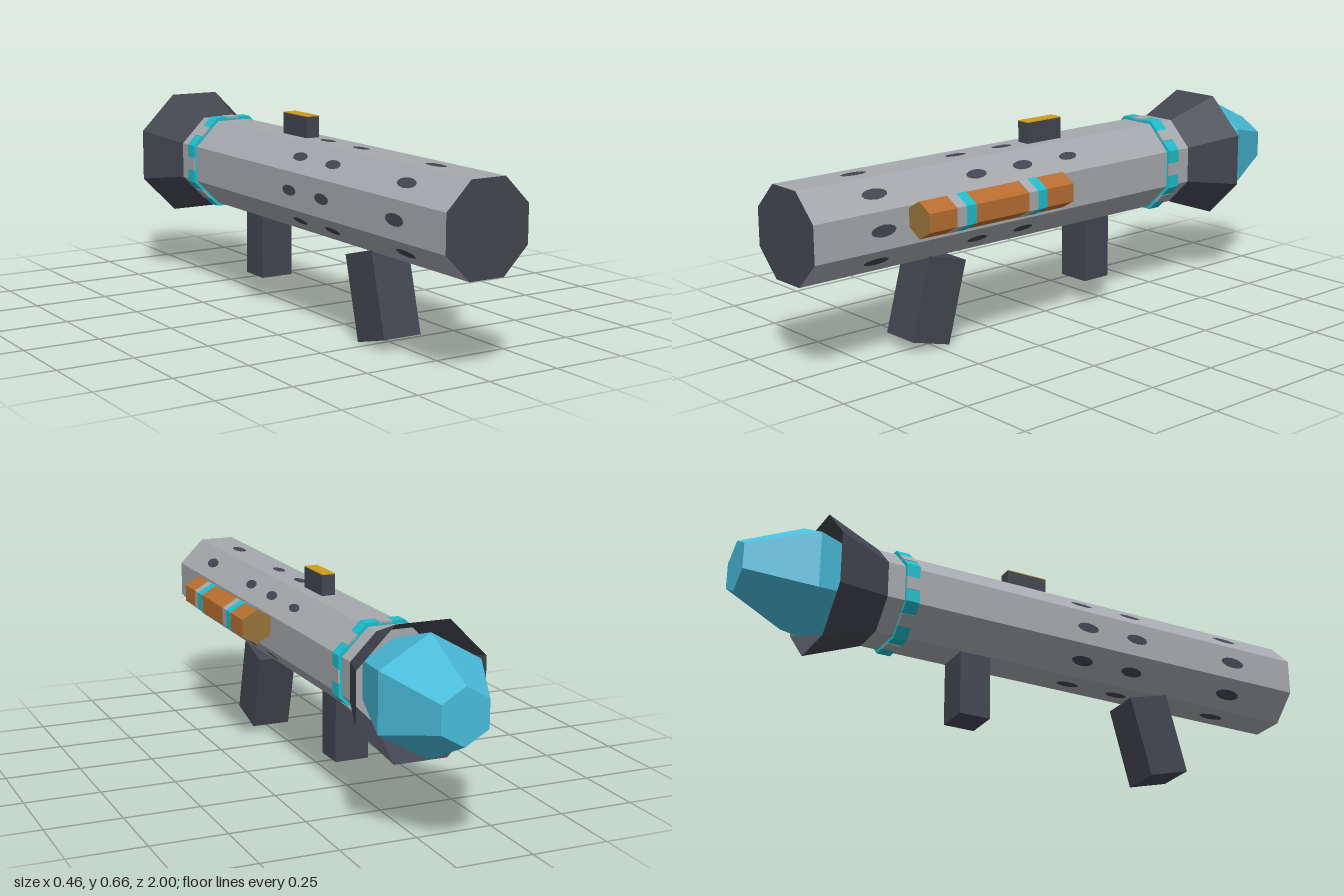
import * as THREE from 'three';

const mat = (name, color, side = THREE.FrontSide) => {
  const m = new THREE.MeshStandardMaterial({ color, side });
  m.name = name;
  return m;
};

export function createModel() {
  const steel = mat('steel grey', 0xa6a9ad);
  const dark = mat('dark slate', 0x434650);
  const darkShell = mat('dark slate shell', 0x434650, THREE.DoubleSide);
  const teal = mat('teal', 0x1fbccb);
  const blue = mat('sky blue', 0x49bbda);
  const orange = mat('copper orange', 0xb86e30);
  const ochre = mat('ochre', 0x98743a);
  const yellow = mat('amber', 0xcf9c20);

  const group = new THREE.Group();
  group.name = 'launcher';
  const CX = -0.017, CY = 0.446; // barrel axis
  const OCT = 1 / Math.cos(Math.PI / 8); // flat-to-corner ratio

  const add = (name, geo, material, x = 0, y = 0, z = 0, parent = group) => {
    const mesh = new THREE.Mesh(geo, material);
    mesh.name = name;
    mesh.position.set(x, y, z);
    parent.add(mesh);
    return mesh;
  };

  // Faceted prism or cone along z; rFront belongs to zFront (the larger z)
  const prism = (sides, rFront, rBack, zFront, zBack, start = 0, open = false) => {
    const g = new THREE.CylinderGeometry(rFront, rBack, zFront - zBack, sides, 1, open, start).toNonIndexed();
    g.rotateX(Math.PI / 2).translate(0, 0, (zFront + zBack) / 2);
    g.computeVertexNormals();
    return g;
  };
  const octagon = (aFront, aBack, zFront, zBack, open) =>
    prism(8, aFront * OCT, aBack * OCT, zFront, zBack, Math.PI / 8, open);

  // Barrel with dark front cap, and the flared muzzle
  add('barrel', octagon(0.145, 0.145, 1, -0.55), [steel, dark, steel], CX, CY);
  add('muzzleFlare', octagon(0.145, 0.211, -0.55, -0.735, true), darkShell, CX, CY);

  // Warhead: hexagonal nose and tapering base
  add('warheadNose', prism(6, 0.191, 0.088, -0.785, -1), blue, CX, CY);
  add('warheadBase', prism(6, 0.12, 0.191, -0.55, -0.785), blue, CX, CY);

  // Checked collar
  add('collar', octagon(0.156, 0.156, -0.445, -0.491), teal, CX, CY);

  // Details repeated on each of the eight barrel faces
  for (let k = 0; k < 8; k++) {
    const face = new THREE.Group();
    face.name = 'barrelFaceDetails';
    face.position.set(CX, CY, 0);
    face.rotation.z = -k * Math.PI / 4; // k = 1 is the upper face on +x
    group.add(face);
    add('collarCheck', new THREE.BoxGeometry(0.043, 0.006, 0.047), steel, 0, 0.1545, -0.468, face);
    const stations = [[0.755, 0.019, 0.046], [0.365, 0.017, 0.04], [0.175, 0.017, 0.04]];
    if (k === 1) stations.push([-0.02, 0.015, 0.038]);
    for (const [z, w, l] of stations) {
      const spot = new THREE.CircleGeometry(1, 12).scale(w, l, 1).rotateX(-Math.PI / 2);
      add('ventSpot', spot, dark, 0, 0.147, z, face);
    }
  }

  // Side canister with paired bands
  const canX = 0.177, canY = 0.47;
  add('canister', prism(6, 0.058, 0.058, 0.66, 0.085), [orange, ochre, ochre], canX, canY);
  for (const z of [0.2, 0.485]) {
    add('canisterTealBand', prism(6, 0.0595, 0.0595, z + 0.035, z - 0.003), teal, canX, canY);
    add('canisterGreyBand', prism(6, 0.0595, 0.0595, z + 0.071, z + 0.035), steel, canX, canY);
  }

  // Sight block with amber top plate
  add('sight', new THREE.BoxGeometry(0.046, 0.08, 0.145), dark, CX, 0.62, 0.01);
  add('sightPlate', new THREE.BoxGeometry(0.046, 0.003, 0.145), yellow, CX, 0.6615, 0.01);

  // Grips
  const rear = add('rearGrip', new THREE.BoxGeometry(0.135, 0.275, 0.148), dark, CX, 0.155, 0.49);
  rear.rotation.x = -0.265;
  add('frontGrip', new THREE.BoxGeometry(0.115, 0.225, 0.107), dark, CX, 0.1995, -0.198);

  return group;
}
